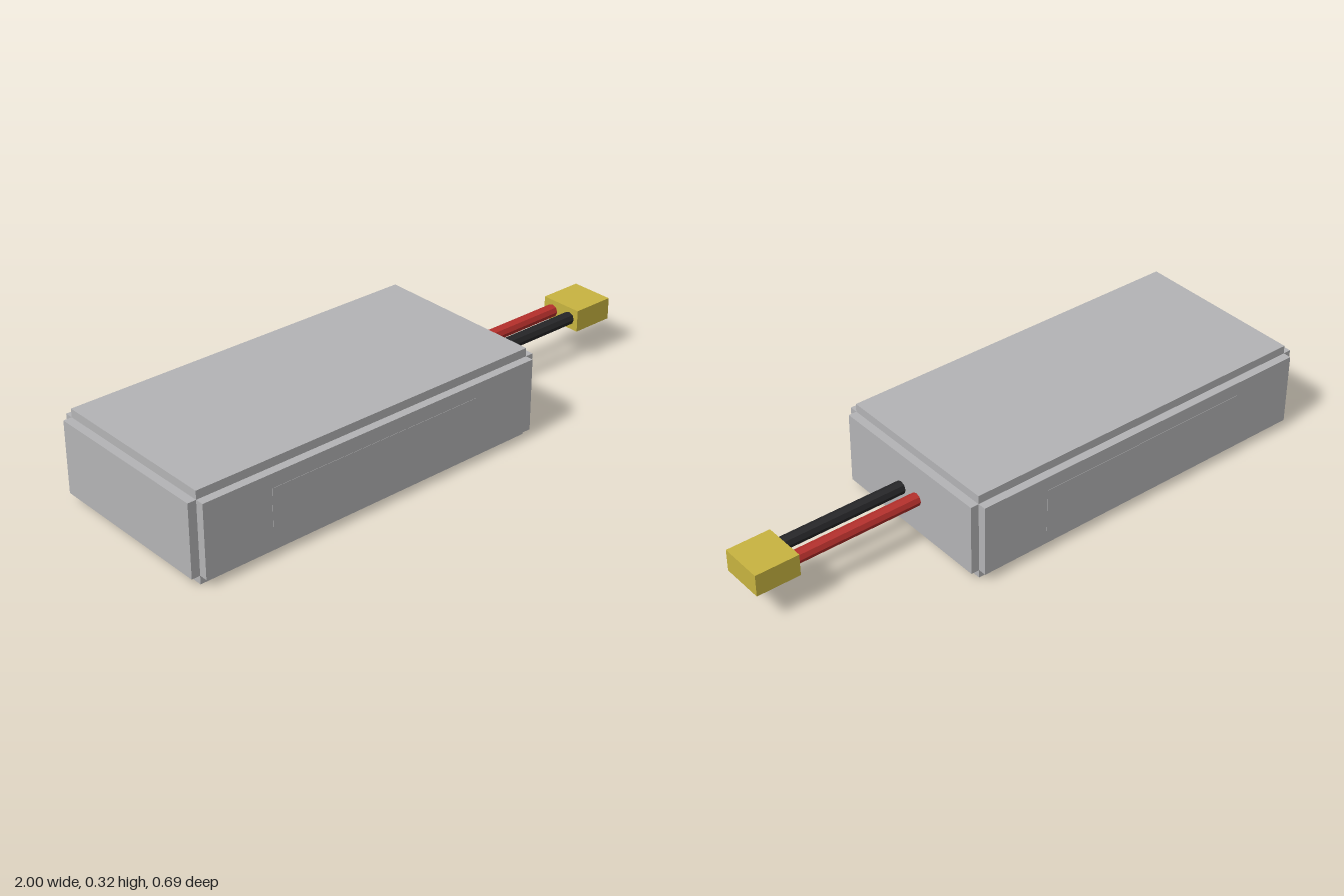
import * as THREE from 'three';

export function createModel() {
  const model = new THREE.Group();
  const material = (name, color) => {
    const m = new THREE.MeshStandardMaterial({ color });
    m.name = name;
    return m;
  };
  const grey = material('grey wrap', 0xb4b4b6);
  const yellow = material('yellow plastic', 0xc8b440);
  const red = material('red insulation', 0xb8302c);
  const black = material('black insulation', 0x262628);

  const add = (name, geometry, mat, x, y, z) => {
    const mesh = new THREE.Mesh(geometry, mat);
    mesh.name = name;
    mesh.position.set(x, y, z);
    model.add(mesh);
    return mesh;
  };

  // Battery body: three crossed slabs leave a stepped notch along every edge
  const cx = -0.3125, cy = 0.159, step = 0.06;
  const size = [1.375, 0.317, 0.69];
  ['endToEndSlab', 'topToBottomSlab', 'sideToSideSlab'].forEach((name, axis) => {
    const s = size.map((v, i) => (i === axis ? v : v - step));
    add(name, new THREE.BoxGeometry(...s), grey, cx, cy, 0);
  });

  // Thin label panels on both long sides
  for (const side of [1, -1]) {
    add(side > 0 ? 'frontLabel' : 'backLabel', new THREE.BoxGeometry(0.82, 0.158, 0.002),
      grey, cx, cy, side * 0.345);
  }

  // Power leads running from the body into the plug
  for (const [name, mat, z] of [['redWire', red, -0.04], ['blackWire', black, 0.04]]) {
    const geometry = new THREE.CylinderGeometry(0.023, 0.023, 0.49, 8).toNonIndexed();
    geometry.computeVertexNormals();
    add(name, geometry, mat, 0.605, cy, z).rotation.z = Math.PI / 2;
  }

  // Plug
  add('connector', new THREE.BoxGeometry(0.158, 0.079, 0.158), yellow, 0.921, cy, 0);

  return model;
}
